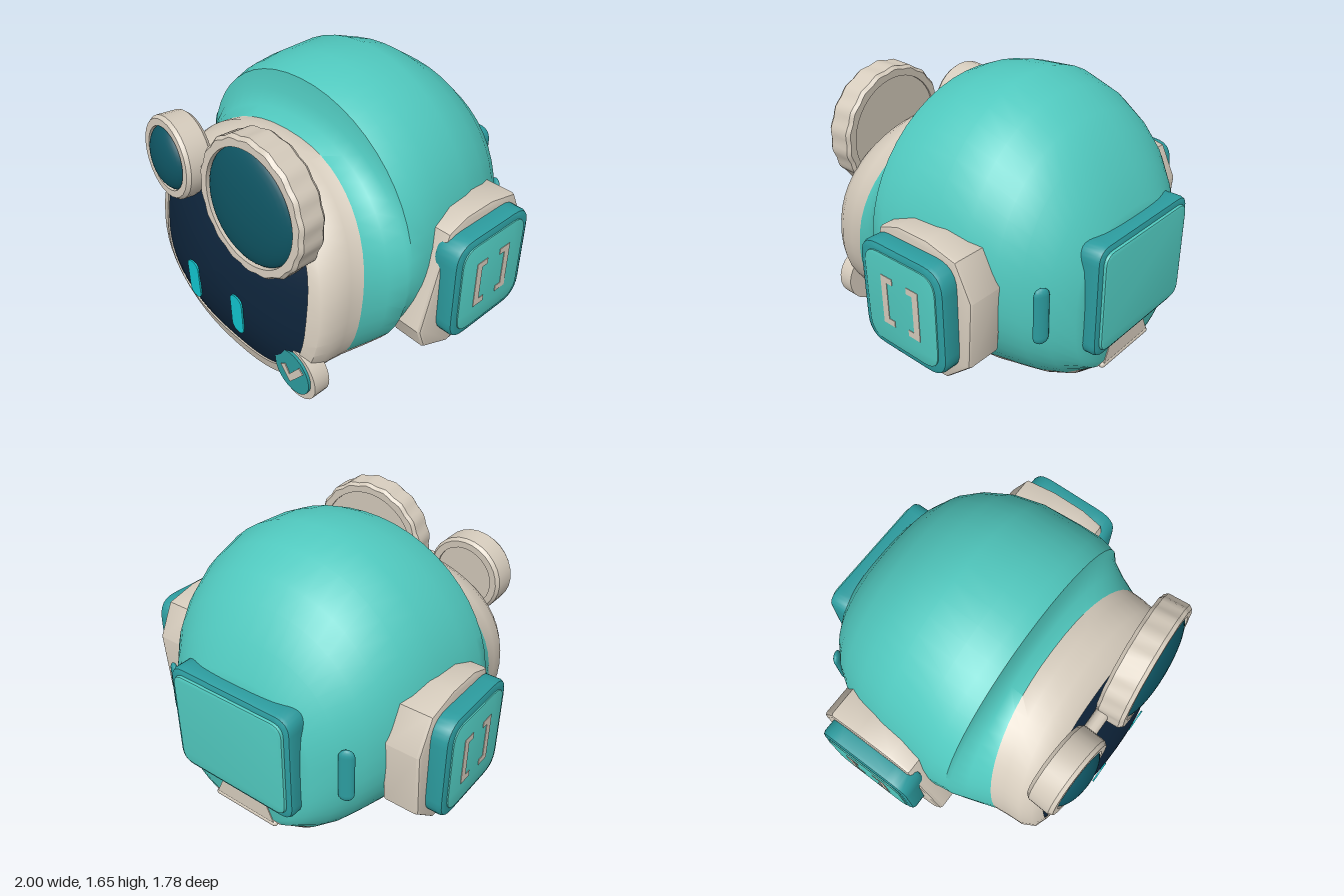
import * as THREE from 'three';
import { toCreasedNormals } from 'three/addons/utils/BufferGeometryUtils.js';

const mat = (name, color, side = THREE.FrontSide) => {
  const m = new THREE.MeshStandardMaterial({ color, side });
  m.name = name;
  return m;
};

export function createModel() {
  const teal = mat('shellTeal', 0x50c8be);
  const trim = mat('trimTeal', 0x2c9c9f);
  const cream = mat('cream', 0xd5cbbc);
  const navy = mat('faceNavy', 0x0d2339);
  const glass = mat('lensGlass', 0x0e5361);
  const glow = mat('eyeCyan', 0x12c6cf);

  const root = new THREE.Group();
  root.name = 'robotHead';
  const add = (name, geo, material, parent = root) => {
    const m = new THREE.Mesh(geo, material);
    m.name = name;
    parent.add(m);
    return m;
  };
  const polygon = pts => new THREE.Shape(pts.map(p => new THREE.Vector2(p[0], p[1])));
  // Extrusion whose bevel stays inside the outline; spans z = 0..depth
  const plate = (shape, depth, bevel = 0) => {
    const g = new THREE.ExtrudeGeometry(shape, {
      depth: depth - 2 * bevel, bevelEnabled: bevel > 0, bevelSize: bevel,
      bevelThickness: bevel, bevelOffset: -bevel, bevelSegments: 2, curveSegments: 6,
    });
    return toCreasedNormals(g.translate(0, 0, bevel), 0.6);
  };
  // Rectangle with softly curved corners of size c
  const softRect = (w, h, c) => {
    const s = new THREE.Shape();
    s.moveTo(-w + c, -h).lineTo(w - c, -h).quadraticCurveTo(w, -h, w, -h + c);
    s.lineTo(w, h - c).quadraticCurveTo(w, h, w - c, h);
    s.lineTo(-w + c, h).quadraticCurveTo(-w, h, -w, h - c);
    s.lineTo(-w, -h + c).quadraticCurveTo(-w, -h, -w + c, -h);
    return s;
  };
  const spow = (v, n) => Math.sign(v) * Math.pow(Math.abs(v), 2 / n);
  // The face end of the head leans back towards the top
  const bend = y => -0.16 * Math.pow(Math.max(0, (y - 0.32) / 0.95), 2);

  // Head shell: rings of z, half width, bottom, top, roundness, lean
  const rings = [
    [-0.80, 0.40, 0.22, 1.02, 2.8, 0], [-0.785, 0.45, 0.18, 1.07, 2.6, 0],
    [-0.70, 0.56, 0.11, 1.24, 2.4, 0], [-0.60, 0.65, 0.07, 1.39, 2.25, 0],
    [-0.50, 0.71, 0.05, 1.49, 2.15, 0], [-0.35, 0.765, 0.02, 1.59, 2.1, 0],
    [-0.17, 0.80, 0, 1.655, 2.05, 0], [0.05, 0.82, 0.005, 1.64, 2.05, 0],
    [0.18, 0.83, 0.01, 1.615, 2.05, 0], [0.27, 0.815, 0.02, 1.585, 2.05, 0.05],
    [0.29, 0.808, 0.02, 1.47, 2.1, 0.1], [0.40, 0.77, 0.04, 1.385, 2.15, 0.5],
    [0.54, 0.72, 0.06, 1.335, 2.25, 1], [0.62, 0.712, 0.065, 1.345, 2.25, 1],
    [0.71, 0.705, 0.07, 1.315, 2.25, 1], [0.77, 0.67, 0.09, 1.27, 2.3, 1],
    [0.795, 0.60, 0.18, 1.22, 2.6, 1], [0.74, 0.60, 0.18, 1.22, 2.6, 1],
  ];
  const UP = 36, LOW = 20, N = UP + LOW, FRAME = 12;
  const pos = [], tealIdx = [], creamIdx = [];
  for (const [z, w, yb, yt, n, lean] of rings) {
    const cy = (yb + yt) / 2, h = (yt - yb) / 2;
    const seam = Math.max(yb + 0.02, z > 0.15 ? 0.36 : 0.36 + (z - 0.15) * 0.15);
    const a = -Math.asin(Math.pow((cy - seam) / h, n / 2));
    for (let j = 0; j < N; j++) {
      const t = j < UP ? a + (Math.PI - 2 * a) * j / UP
        : Math.PI - a + (Math.PI + 2 * a) * (j - UP) / LOW;
      const y = cy + h * spow(Math.sin(t), n);
      pos.push(w * spow(Math.cos(t), n), y, z + lean * bend(y));
    }
  }
  for (let i = 0; i < rings.length - 1; i++) {
    for (let j = 0; j < N; j++) {
      const k = (j + 1) % N, a = i * N + j, b = i * N + k;
      (j < UP && i < FRAME ? tealIdx : creamIdx).push(a, b, b + N, a, b + N, a + N);
    }
  }
  pos.push(0, 0.62, -0.8);
  for (let j = 0; j < N; j++) tealIdx.push(rings.length * N, (j + 1) % N, j);
  const shell = new THREE.BufferGeometry();
  shell.setAttribute('position', new THREE.Float32BufferAttribute(pos, 3));
  shell.setIndex([...tealIdx, ...creamIdx]);
  shell.addGroup(0, tealIdx.length, 0);
  shell.addGroup(tealIdx.length, creamIdx.length, 1);
  add('headShell', toCreasedNormals(shell, 0.75), [teal, cream]);

  // Domed face screen
  const face = new THREE.CircleGeometry(1, 64);
  const fp = [], fi = [], FR = 10, FS = 56;
  for (let i = 0; i <= FR; i++) {
    for (let j = 0; j < FS; j++) {
      const s = i / FR, t = j / FS * Math.PI * 2;
      const y = 0.7 + 0.52 * s * spow(Math.sin(t), 2.6);
      fp.push(0.6 * s * spow(Math.cos(t), 2.6), y, 0.785 + bend(y) + 0.12 * (1 - s * s));
      const a = i * FS + j, b = i * FS + (j + 1) % FS;
      if (i < FR) fi.push(a, a + FS, b + FS, a, b + FS, b);
    }
  }
  face.dispose();
  const screen = new THREE.BufferGeometry();
  screen.setAttribute('position', new THREE.Float32BufferAttribute(fp, 3));
  screen.setIndex(fi);
  screen.computeVertexNormals();
  add('faceScreen', screen, navy);

  // Eyes
  for (const s of [-1, 1]) {
    add(s > 0 ? 'leftEye' : 'rightEye', plate(softRect(0.047, 0.12, 0.047), 0.009), glow)
      .position.set(s * 0.19, 0.53, 0.879);
  }

  // Goggles: wavy or round rim with a domed lens
  const goggle = (name, x, y, rOut, rIn, turn, wave, segments) => {
    const g = new THREE.Group();
    g.name = name;
    g.position.set(x, y, 0.75);
    g.rotation.set(-0.07, turn, 0);
    root.add(g);
    const profile = [[rIn, -0.08], [rOut - 0.015, -0.08], [rOut, -0.06], [rOut, 0.06],
      [rOut - 0.015, 0.08], [rIn, 0.08], [rIn, -0.08]].map(p => new THREE.Vector2(...p));
    const rim = new THREE.LatheGeometry(profile, segments);
    const p = rim.attributes.position;
    for (let i = 0; i < p.count; i++) {
      const px = p.getX(i), pz = p.getZ(i);
      if (Math.hypot(px, pz) < rIn + 0.005) continue;
      const k = 1 + wave * Math.cos(18 * Math.atan2(px, pz));
      p.setX(i, px * k);
      p.setZ(i, pz * k);
    }
    add(name + 'Rim', toCreasedNormals(rim.rotateX(Math.PI / 2), 0.6), cream, g);
    const lens = new THREE.SphereGeometry(rIn + 0.002, 40, 10, 0, Math.PI * 2, 0, Math.PI / 2);
    lens.scale(1, 0.08 / rIn, 1).rotateX(Math.PI / 2);
    add(name + 'Lens', lens, glass, g).position.z = 0.045;
    const back = new THREE.CircleGeometry(rIn, 40).rotateY(Math.PI);
    add(name + 'Back', back, cream, g).position.z = -0.07;
  };
  goggle('largeGoggle', 0.27, 1.2, 0.36, 0.305, 0.05, 0.014, 72);
  goggle('smallGoggle', -0.42, 1.16, 0.23, 0.177, -0.06, 0, 28);
  const bridge = new THREE.CylinderGeometry(0.038, 0.038, 0.16, 12).rotateZ(Math.PI / 2);
  add('goggleBridge', bridge, cream).position.set(-0.15, 1.175, 0.73);

  // Ear assemblies, outlines given as z, y
  const bracket = [[0.1, 1.02], [-0.03, 1.065], [-0.23, 1.065], [-0.42, 1.02], [-0.515, 0.83],
    [-0.49, 0.45], [-0.33, 0.31], [0.04, 0.275], [0.23, 0.36], [0.27, 0.48]];
  const clasp = [[0, 0.14], [0.08, 0.14], [0.08, 0.105], [0.04, 0.105],
    [0.04, -0.105], [0.08, -0.105], [0.08, -0.14], [0, -0.14]];
  for (const s of [-1, 1]) {
    const ear = new THREE.Group();
    ear.name = s > 0 ? 'leftEar' : 'rightEar';
    ear.rotation.y = s * Math.PI / 2;
    root.add(ear);
    add('earBracket', plate(polygon(bracket.map(([z, y]) => [-s * z, y])), 0.215, 0.02), cream, ear)
      .position.z = 0.68;
    const u = s * 0.14;
    add('earPad', plate(softRect(0.29, 0.305, 0.13), 0.15, 0.025), trim, ear).position.set(u, 0.7, 0.84);
    add('earPadFace', plate(softRect(0.245, 0.262, 0.1), 0.012, 0.004), teal, ear).position.set(u, 0.7, 0.985);
    for (const d of [-1, 1]) {
      add('earMark', plate(polygon(clasp.map(([x, y]) => [d * (0.13 - x), y])), 0.004), cream, ear)
        .position.set(u, 0.7, 0.996);
    }
    // Rear side slot
    const slot = new THREE.CapsuleGeometry(0.042, 0.24, 4, 12).scale(1, 1, 0.45);
    const m = add('rearSlot', slot, trim);
    m.position.set(s * 0.595, 0.69, -0.685);
    m.rotation.y = -s * 0.5;
  }

  // Back pack, facing -z
  const pack = new THREE.Group();
  pack.name = 'backPack';
  pack.rotation.y = Math.PI;
  root.add(pack);
  add('packBase', plate(softRect(0.4, 0.32, 0.09), 0.15, 0.025), trim, pack).position.set(0, 0.71, 0.72);
  add('packPanel', plate(softRect(0.365, 0.285, 0.07), 0.04, 0.015), teal, pack).position.set(0, 0.71, 0.847);
  const patch = polygon([[-0.21, 0.21], [0.21, 0.21], [0.12, 0.41], [-0.12, 0.41]]);
  add('napePatch', plate(patch, 0.008), cream, pack).position.z = 0.797;
  const lip = new THREE.CapsuleGeometry(0.02, 0.4, 4, 10).rotateZ(Math.PI / 2);
  add('napeLip', lip, cream, pack).position.set(0, 0.212, 0.79);

  // Round cheek badge with a tick
  const disc = (r, d) => new THREE.CylinderGeometry(r, r, d, 32).rotateX(Math.PI / 2);
  add('badgeRim', disc(0.155, 0.095), cream).position.set(0.53, 0.305, 0.748);
  add('badgeDisc', disc(0.13, 0.03), trim).position.set(0.522, 0.312, 0.795);
  const tick = polygon([[0.44, 0.315], [0.475, 0.34], [0.507, 0.29], [0.585, 0.39],
    [0.615, 0.365], [0.51, 0.235]]);
  add('badgeTick', plate(tick, 0.006), cream).position.z = 0.809;

  return root;
}
